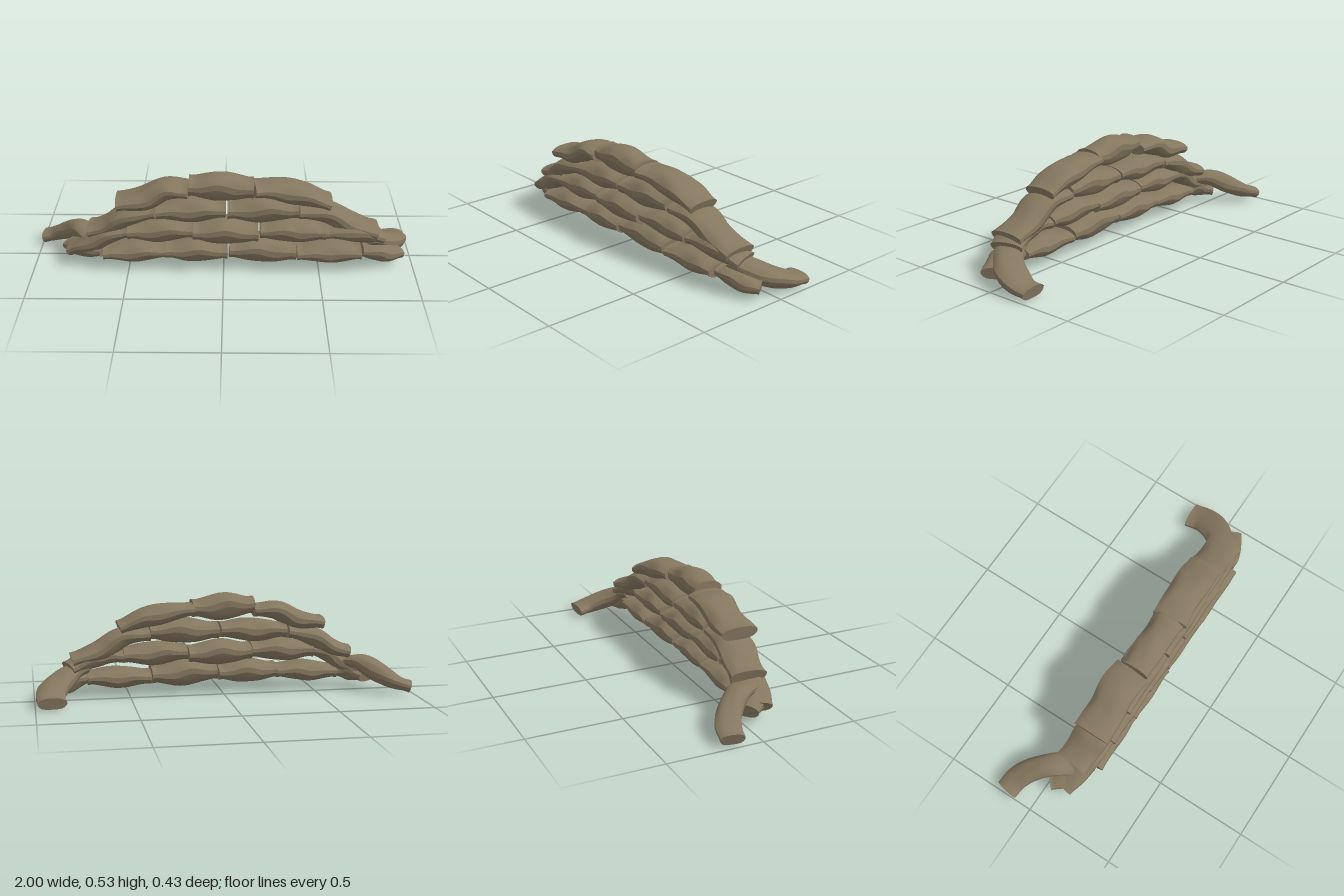
import * as THREE from 'three';

const cloth = new THREE.MeshStandardMaterial({ color: 0x85775f, side: THREE.DoubleSide });
const SEGMENTS = 28;

// Half section from top to bottom (width, height): domed top, upright seam
// band, tucked underside. Repeated points make the sharp seam edges.
const half = [
  [0, 1], [0.3, 0.98], [0.58, 0.88], [0.8, 0.68], [0.99, 0.36], [0.99, 0.36],
  [1, -0.12], [1, -0.12], [0.88, -0.55], [0.7, -0.84], [0.4, -0.97], [0, -1],
];
// Full ring, running from the bottom up the outer side and over the top
const section = [...half].reverse().concat(half.slice(1, -1).map(([x, y]) => [-x, y]));
const RING = section.length;

// One filled sack: the section swept along a path, pinched towards both ends
// with a slight flare at the sewn hems.
function sack(name, points, width, height, phase) {
  const path = new THREE.CatmullRomCurve3(points.map(p => new THREE.Vector3(...p)));
  const positions = [], index = [];
  const up = new THREE.Vector3(), side = new THREE.Vector3(), p = new THREE.Vector3();

  for (let i = 0; i <= SEGMENTS; i++) {
    const t = i / SEGMENTS;
    const tangent = path.getTangentAt(t);
    const center = path.getPointAt(t);
    side.crossVectors(tangent, THREE.Object3D.DEFAULT_UP).normalize();
    up.crossVectors(side, tangent).normalize();
    const bulge = Math.sin(Math.PI * t);
    const hem = Math.max(0, 1 - Math.min(t, 1 - t) / 0.08);
    const h = height / 2 * (0.56 + 0.46 * bulge ** 1.4 + 0.1 * hem);
    const w = width / 2 * (0.96 + 0.03 * bulge + 0.03 * hem + 0.03 * Math.sin(9 * t + phase));
    const seam = 0.22 * bulge * Math.sin(8 * t + phase);
    for (const [sx, sy] of section) {
      // the seam wanders up and down along the side
      const y = sy + seam * sx * sx * (1 - sy * sy);
      const fold = 1 + 0.05 * bulge * Math.sin(4 * sx + 7 * t + phase);
      p.copy(center).addScaledVector(side, sx * w).addScaledVector(up, y * h * fold);
      positions.push(p.x, p.y, p.z);
    }
  }
  for (let i = 0; i < SEGMENTS; i++) {
    for (let j = 0; j < RING; j++) {
      const a = i * RING + j, b = i * RING + (j + 1) % RING;
      index.push(a, a + RING, b, b, a + RING, b + RING);
    }
  }
  // closed ends with their own vertices, so the hem edge stays sharp
  for (const last of [false, true]) {
    const from = last ? SEGMENTS * RING : 0;
    const start = positions.length / 3;
    positions.push(...positions.slice(from * 3, (from + RING) * 3));
    const c = path.getPointAt(last ? 1 : 0);
    positions.push(c.x, c.y, c.z);
    for (let j = 0; j < RING; j++) {
      const a = start + j, b = start + (j + 1) % RING;
      index.push(start + RING, last ? b : a, last ? a : b);
    }
  }
  const geometry = new THREE.BufferGeometry();
  geometry.setAttribute('position', new THREE.Float32BufferAttribute(positions, 3));
  geometry.setIndex(index);
  geometry.computeVertexNormals();
  const mesh = new THREE.Mesh(geometry, cloth);
  mesh.name = name;
  return mesh;
}

export function createModel() {
  const model = new THREE.Group();
  model.name = 'sandbagWall';

  // Level sacks: x start, x end, centre height, centre depth, width, height
  const courses = {
    bottomCourse: [
      [-0.63, -0.30, 0.103, 0.112, 0.205, 0.105],
      [-0.30, 0.02, 0.112, 0.115, 0.205, 0.12],
      [0.03, 0.38, 0.115, 0.112, 0.205, 0.135],
      [0.385, 0.72, 0.102, 0.112, 0.205, 0.105],
    ],
    secondCourse: [
      [-0.50, -0.16, 0.225, 0.113, 0.2, 0.12],
      [-0.16, 0.18, 0.218, 0.116, 0.2, 0.13],
      [0.19, 0.53, 0.225, 0.112, 0.2, 0.12],
    ],
    thirdCourse: [
      [-0.35, 0.01, 0.338, 0.108, 0.2, 0.12],
      [0.02, 0.39, 0.343, 0.110, 0.2, 0.13],
    ],
    topCourse: [[-0.18, 0.155, 0.465, 0.122, 0.16, 0.14]],
  };
  let phase = 0;
  for (const [name, row] of Object.entries(courses)) {
    const group = new THREE.Group();
    group.name = name;
    for (const [x0, x1, y, z, w, h] of row) {
      phase += 1.7;
      const tilt = 0.006 * Math.sin(phase);
      group.add(sack('sandbag', [[x0, y - tilt, z], [(x0 + x1) / 2, y, z], [x1, y + tilt, z]], w, h, phase));
    }
    model.add(group);
  }

  // Sacks draped over the stepped ends of each course
  const draped = [
    ['topRightSack', [[-0.18, 0.445, 0.11], [-0.30, 0.44, 0.10], [-0.42, 0.39, 0.105], [-0.555, 0.37, 0.105]], 0.2, 0.105],
    ['topLeftSack', [[0.155, 0.455, 0.12], [0.28, 0.445, 0.105], [0.42, 0.415, 0.10], [0.55, 0.37, 0.095]], 0.19, 0.105],
    ['thirdRightSack', [[-0.36, 0.325, 0.10], [-0.49, 0.30, 0.10], [-0.60, 0.235, 0.09], [-0.705, 0.205, 0.08]], 0.19, 0.105],
    ['thirdLeftSack', [[0.39, 0.33, 0.105], [0.52, 0.32, 0.10], [0.66, 0.25, 0.09], [0.80, 0.205, 0.085]], 0.19, 0.105],
    ['secondRightSack', [[-0.50, 0.22, 0.11], [-0.60, 0.19, 0.11], [-0.71, 0.13, 0.09], [-0.80, 0.085, 0.06]], 0.18, 0.1],
    ['secondLeftSack', [[0.53, 0.215, 0.11], [0.64, 0.222, 0.11], [0.74, 0.195, 0.09], [0.82, 0.165, 0.065]], 0.18, 0.1],
    ['bottomRightSack', [[-0.63, 0.10, 0.11], [-0.70, 0.10, 0.09], [-0.76, 0.09, 0.05], [-0.80, 0.08, 0.0]], 0.16, 0.1],
    ['bottomLeftSack', [[0.72, 0.11, 0.11], [0.79, 0.095, 0.10], [0.86, 0.075, 0.075], [0.91, 0.065, 0.04]], 0.16, 0.1],
    ['rightWingSack', [[-0.69, 0.15, 0.08], [-0.76, 0.155, -0.01], [-0.83, 0.115, -0.09], [-0.91, 0.07, -0.14], [-0.985, 0.045, -0.155]], 0.125, 0.095],
    ['leftWingSack', [[0.75, 0.165, 0.09], [0.82, 0.135, 0.05], [0.89, 0.085, -0.03], [0.92, 0.055, -0.12], [0.915, 0.038, -0.205]], 0.155, 0.095],
  ];
  for (const [name, points, w, h] of draped) {
    phase += 1.7;
    model.add(sack(name, points, w, h, phase));
  }
  return model;
}
